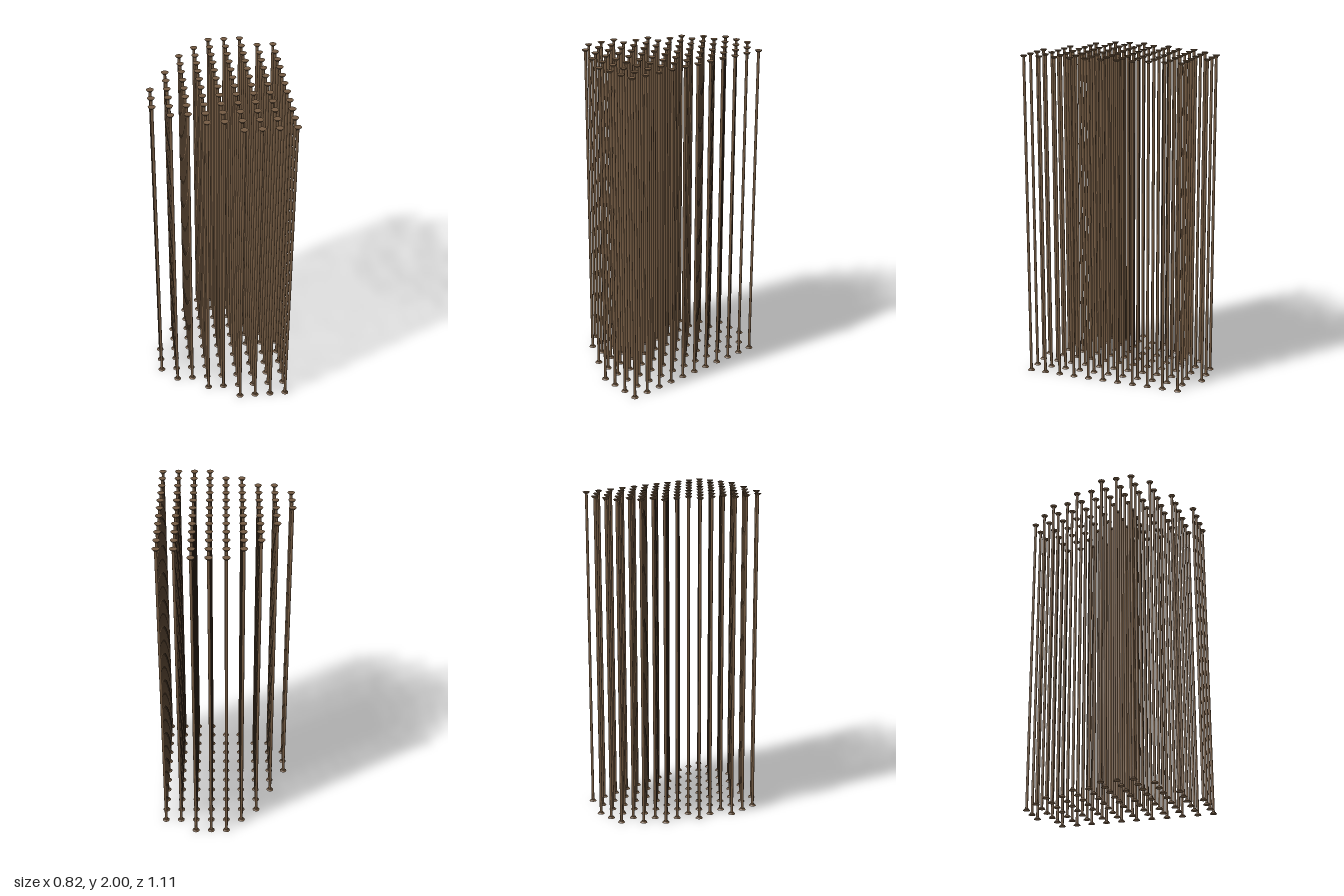
import * as THREE from 'three';

const PITCH = 0.097;
const HEIGHT = 2;
const ROD_R = 0.0085;
const CAP_R = 0.022;
const CAP_H = 0.01;

// First and last occupied column of each row, from back (-z) to front (+z)
const ROWS = [
  [4, 6], [3, 8], [2, 8], [2, 8], [1, 8], [1, 8],
  [0, 8], [0, 8], [0, 8], [1, 8], [3, 8], [5, 8],
];

export function createModel() {
  const model = new THREE.Group();
  model.name = 'rodCluster';
  const brown = new THREE.MeshStandardMaterial({ color: 0x735a42 });

  // Shared shapes: slim shaft, and end caps that flare outwards
  const shaftGeo = new THREE.CylinderGeometry(ROD_R, ROD_R, HEIGHT - CAP_H, 24, 1, true);
  const topGeo = new THREE.CylinderGeometry(CAP_R, CAP_R * 0.65, CAP_H, 32);
  const bottomGeo = new THREE.CylinderGeometry(CAP_R * 0.65, CAP_R, CAP_H, 32);

  const addPart = (parent, name, geometry, y) => {
    const mesh = new THREE.Mesh(geometry, brown);
    mesh.name = name;
    mesh.position.y = y;
    parent.add(mesh);
  };

  // One capped rod per occupied grid cell
  ROWS.forEach(([first, last], row) => {
    for (let col = first; col <= last; col++) {
      const rod = new THREE.Group();
      rod.name = 'rod';
      rod.position.set((col - 4) * PITCH, 0, (row - 5.5) * PITCH);
      addPart(rod, 'shaft', shaftGeo, HEIGHT / 2);
      addPart(rod, 'topCap', topGeo, HEIGHT - CAP_H / 2);
      addPart(rod, 'bottomCap', bottomGeo, CAP_H / 2);
      model.add(rod);
    }
  });
  return model;
}
